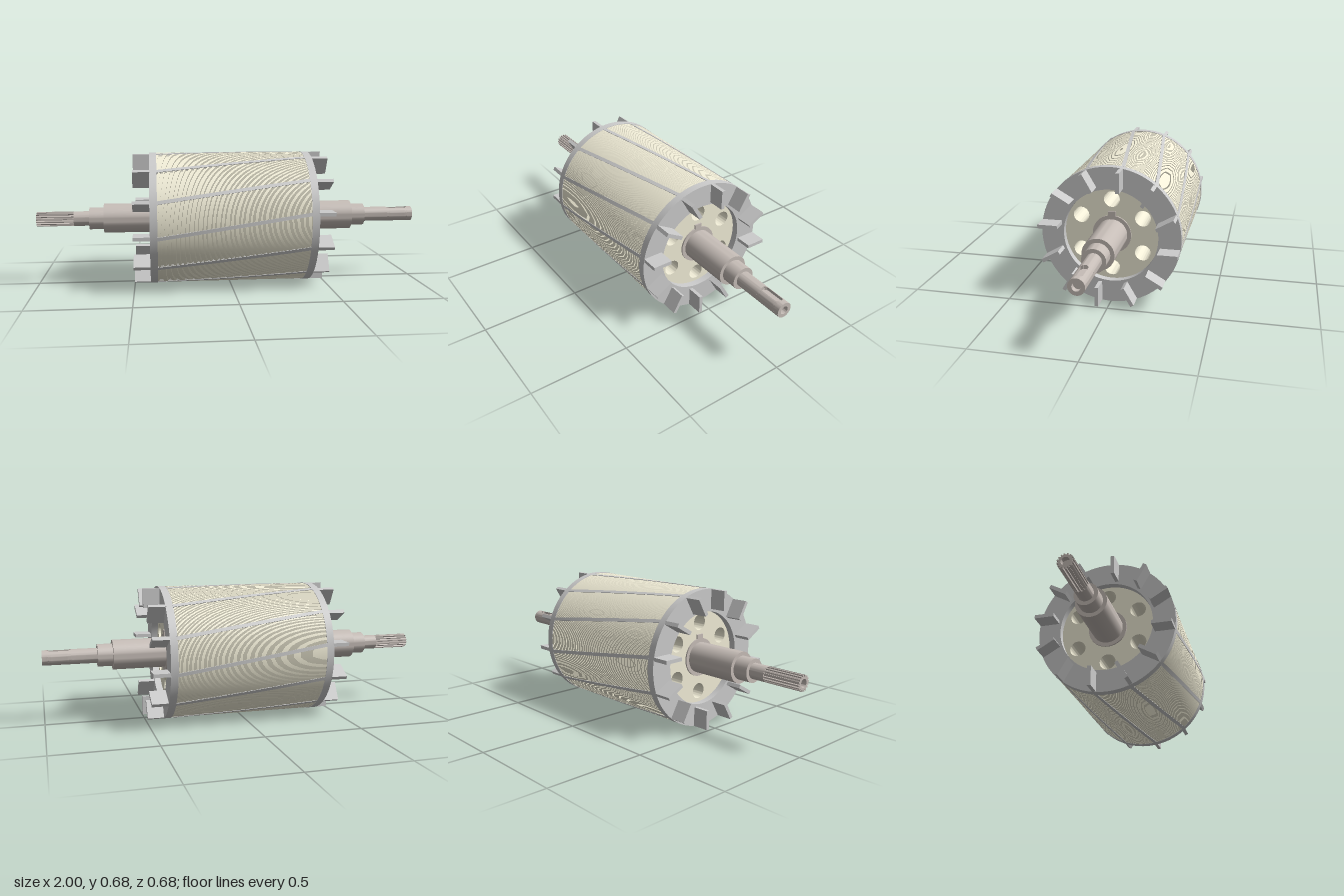
import * as THREE from 'three';
import { toCreasedNormals } from 'three/addons/utils/BufferGeometryUtils.js';

const R = 0.342;          // rotor radius
const CORE = 0.383;       // half length of the sheet stack
const END = 0.417;        // outer face of the end rings
const SKEW = 0.43;        // bar twist, radians per unit of length
const cream = new THREE.MeshStandardMaterial({ color: 0xf2eed8 });
const grey = new THREE.MeshStandardMaterial({ color: 0xcccccc });
const steel = new THREE.MeshStandardMaterial({ color: 0xc6bdb7 });

function disc(r, holes = []) {
  const s = new THREE.Shape().absarc(0, 0, r, 0, Math.PI * 2, false);
  for (const [x, y, hr] of holes) s.holes.push(new THREE.Path().absarc(x, y, hr, 0, Math.PI * 2, true));
  return s;
}

// Extrude a cross-section along the x axis
function along(shape, x0, x1, curveSegments = 24) {
  const g = new THREE.ExtrudeGeometry(shape, { depth: x1 - x0, bevelEnabled: false, curveSegments });
  g.rotateY(Math.PI / 2).translate(x0, 0, 0);
  return toCreasedNormals(g, 0.5);
}

export function createModel() {
  const model = new THREE.Group();
  model.name = 'rotor';
  const rotor = new THREE.Group();
  rotor.name = 'rotorAssembly';
  rotor.position.y = R;
  model.add(rotor);
  const add = (name, geometry, material, parent = rotor) => {
    const m = new THREE.Mesh(geometry, material);
    m.name = name;
    parent.add(m);
    return m;
  };

  // Core with six ventilation holes
  const vents = [];
  for (let i = 0; i < 6; i++) {
    const a = Math.PI / 2 + i * Math.PI / 3;
    vents.push([Math.cos(a) * 0.175, Math.sin(a) * 0.175, 0.039]);
  }
  add('core', along(disc(0.25, vents), -CORE, CORE, 32), cream);

  // Thin sheets: a turned profile with a narrow groove between neighbours
  const sheets = 140, pitch = 2 * CORE / sheets, profile = [new THREE.Vector2(0.25, -CORE)];
  for (let i = 0; i < sheets; i++) {
    const x = -CORE + i * pitch, e = x + pitch * 0.72;
    profile.push(new THREE.Vector2(0.34, x), new THREE.Vector2(0.34, e));
    if (i < sheets - 1) profile.push(new THREE.Vector2(0.33, e), new THREE.Vector2(0.33, x + pitch));
  }
  profile.push(new THREE.Vector2(0.25, -CORE + (sheets - 0.28) * pitch));
  const stack = new THREE.LatheGeometry(profile, 72).rotateZ(-Math.PI / 2);
  add('laminations', toCreasedNormals(stack, 0.5), cream);

  // End rings
  for (const s of [-1, 1]) {
    const ring = along(disc(R, [[0, 0, 0.232]]), s > 0 ? CORE - 0.003 : -END, s > 0 ? END : -CORE + 0.003, 48);
    add(s > 0 ? 'leftEndRing' : 'rightEndRing', ring, grey);
  }

  // Twelve skewed bars, each with a fin at both ends
  const barGeo = new THREE.BoxGeometry(2 * CORE, 0.018, 0.09, 16, 1, 1).translate(0, 0, 0.297);
  const p = barGeo.attributes.position;
  for (let i = 0; i < p.count; i++) {
    const a = p.getX(i) * SKEW, y = p.getY(i), z = p.getZ(i);
    p.setXYZ(i, p.getX(i), y * Math.cos(a) + z * Math.sin(a), z * Math.cos(a) - y * Math.sin(a));
  }
  barGeo.computeVertexNormals();
  const finGeo = new THREE.BoxGeometry(0.5 - END + 0.004, 0.018, 0.097);
  for (let i = 0; i < 12; i++) {
    const spoke = new THREE.Group();
    spoke.name = 'barAndFins';
    spoke.rotation.x = i * Math.PI / 6;
    rotor.add(spoke);
    add('cageBar', barGeo, grey, spoke);
    for (const s of [-1, 1]) {
      add('fin', finGeo, grey, spoke).position.set(s * (0.5 + END - 0.004) / 2, s * 0.053, 0.2885);
    }
  }

  // Shaft seat and its key inside the core
  add('shaftSeat', along(disc(0.095), -0.39, 0.39), steel);
  add('coreKey', new THREE.BoxGeometry(0.78, 0.06, 0.038), steel).position.y = 0.085;

  // Stepped shaft
  add('shaftBody', along(disc(0.076), -0.655, 0.655), steel);
  add('shaftShoulder', along(disc(0.057), -0.73, 0.73), steel);
  add('rightJournal', along(disc(0.038), -0.81, -0.73), steel);
  add('leftJournal', along(disc(0.038), 0.73, 0.86), steel);

  // Round-ended keyway, cut as slices whose slot width follows the end arcs
  const r = 0.038, w = 0.018, floor = 0.019, k0 = 0.86, k1 = 0.975;
  const cuts = [];
  for (let i = 0; i <= 5; i++) cuts.push(w * (1 - Math.cos(i * Math.PI / 10)));
  const xs = [...cuts.map(c => k0 + c), ...cuts.map(c => k1 - c).reverse()];
  for (let i = 0; i < xs.length - 1; i++) {
    const mid = (xs[i] + xs[i + 1]) / 2;
    const d = Math.max(0, w - Math.min(mid - k0, k1 - mid));
    const h = Math.sqrt(w * w - d * d), a = Math.acos(h / r);
    const s = new THREE.Shape();
    s.moveTo(h, floor);
    s.lineTo(h, r * Math.sin(a));
    s.absarc(0, 0, r, a, -Math.PI - a, true);
    s.lineTo(-h, floor);
    s.closePath();
    add('keywaySection', along(s, xs[i], xs[i + 1]), steel);
  }
  add('leftShaftTip', along(disc(r, [[0, 0, 0.02]]), k1, 1), steel);

  // Splined end with a centre hole
  const teeth = 16, spline = (holes) => {
    const s = new THREE.Shape();
    for (let i = 0; i < teeth; i++) {
      [[0, 0.031], [0.4, 0.031], [0.5, 0.038], [0.9, 0.038]].forEach(([t, q], j) => {
        const a = (i + t) / teeth * Math.PI * 2;
        s[i + j ? 'lineTo' : 'moveTo'](q * Math.cos(a), q * Math.sin(a));
      });
    }
    s.closePath();
    s.holes = holes;
    return s;
  };
  add('splinedEnd', along(spline([]), -0.975, -0.81), steel);
  add('splinedTip', along(spline([new THREE.Path().absarc(0, 0, 0.02, 0, Math.PI * 2, true)]), -1, -0.975), steel);

  return model;
}
